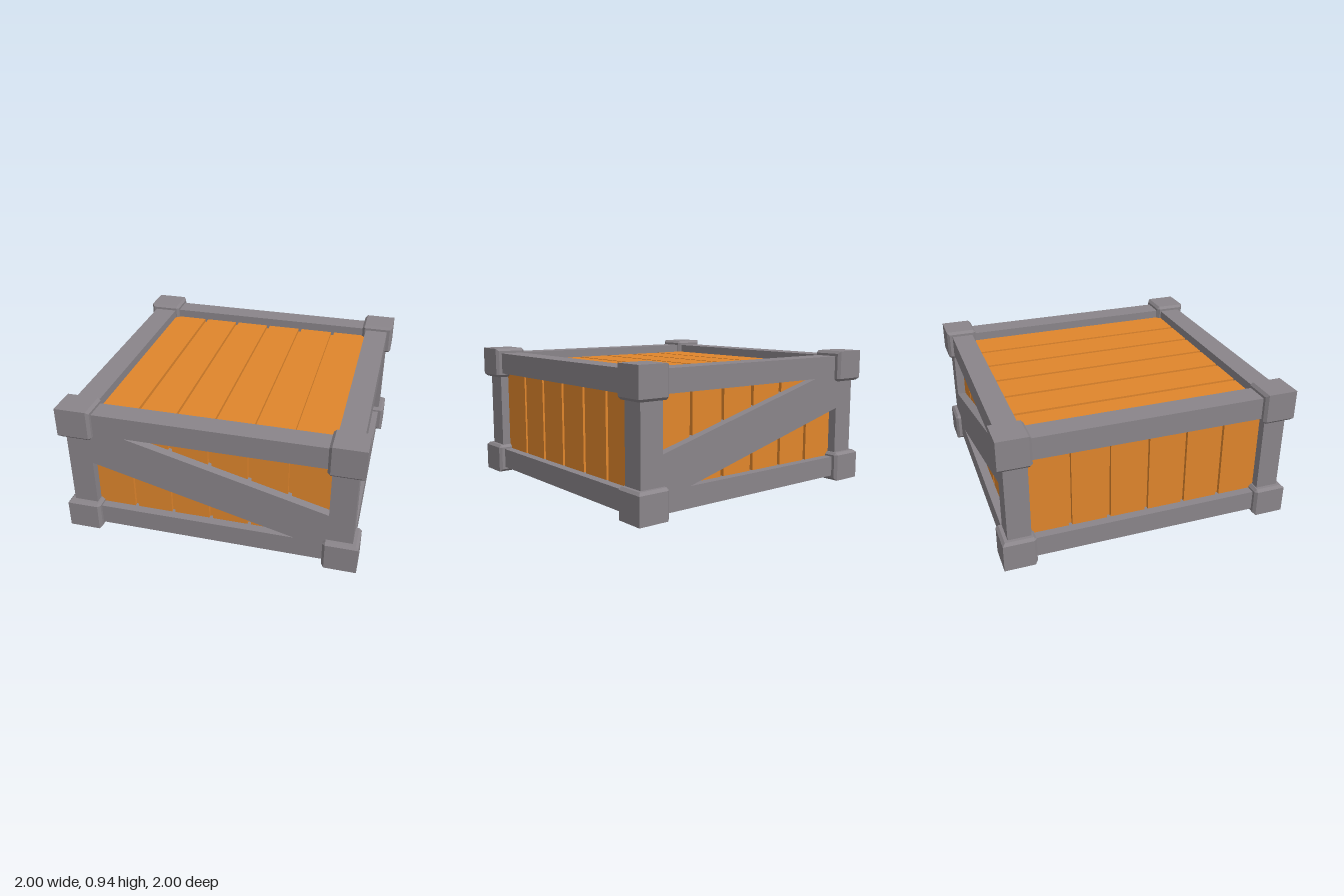
import * as THREE from 'three';
import { ConvexGeometry } from 'three/addons/geometries/ConvexGeometry.js';

const frameMat = new THREE.MeshStandardMaterial({ color: 0x8a858a, flatShading: true });
const woodMat = new THREE.MeshStandardMaterial({ color: 0xe0862c, flatShading: true });

function add(parent, name, geometry, material, x = 0, y = 0, z = 0) {
  const mesh = new THREE.Mesh(geometry, material);
  mesh.name = name;
  mesh.position.set(x, y, z);
  parent.add(mesh);
  return mesh;
}

// Six boards side by side with narrow grooves, facing +z
function plankPanel(name, length) {
  const group = new THREE.Group();
  group.name = name;
  const edges = [-0.83, -0.53, -0.265, 0, 0.265, 0.53, 0.83];
  const gap = 0.025, thick = 0.03;
  for (let i = 0; i < 6; i++) {
    const width = edges[i + 1] - edges[i] - gap;
    add(group, 'plank', new THREE.BoxGeometry(width, length, thick), woodMat,
      (edges[i] + edges[i + 1]) / 2, 0, -thick / 2);
  }
  return group;
}

// Corner block: sharp outer edges, chamfers around its three inner faces.
// Each range is [inner, outer].
function cornerBlock(rx, ry, rz) {
  const ranges = [rx, ry, rz], c = 0.018, points = [];
  const inward = (r, end, amount) => r[end] + Math.sign(r[1 - end] - r[end]) * amount;
  for (let axis = -1; axis < 3; axis++) {
    for (let bits = 0; bits < 8; bits++) {
      const p = ranges.map((r, k) => {
        const end = (bits >> k) & 1;
        if (axis < 0) return end ? r[1] : inward(r, 0, c);
        return k === axis ? r[0] : inward(r, end, c);
      });
      points.push(new THREE.Vector3(...p));
    }
  }
  return new ConvexGeometry(points);
}

// Front/back frame with a diagonal brace left between two triangular openings
function bracedFrame() {
  const poly = (pts, Type) => new Type(pts.map(([x, y]) => new THREE.Vector2(x, y)));
  const shape = poly([[-0.96, 0.035], [0.96, 0.035], [0.96, 0.905], [-0.96, 0.905]], THREE.Shape);
  shape.holes.push(
    poly([[-0.56, 0.755], [0.795, 0.755], [0.795, 0.4]], THREE.Path),
    poly([[-0.795, 0.53], [-0.795, 0.175], [0.58, 0.175]], THREE.Path));
  return new THREE.ExtrudeGeometry(shape, { depth: 0.155, bevelEnabled: false });
}

export function createModel() {
  const crate = new THREE.Group();
  crate.name = 'crate';

  // Wooden body seen through the grooves
  add(crate, 'innerBox', new THREE.BoxGeometry(1.75, 0.7, 1.75), woodMat, 0, 0.47, 0);

  // Plank panels: [name, board length, position, rotation]
  const h = Math.PI / 2;
  const panels = [
    ['frontPanel', 0.7, [0, 0.465, 0.9], [0, 0, 0]],
    ['backPanel', 0.7, [0, 0.465, -0.9], [0, Math.PI, 0]],
    ['leftPanel', 0.7, [0.9, 0.465, 0], [0, h, 0]],
    ['rightPanel', 0.7, [-0.9, 0.465, 0], [0, -h, 0]],
    ['topPanel', 1.66, [0, 0.845, 0], [-h, 0, 0]],
    ['bottomPanel', 1.66, [0, 0.095, 0], [h, 0, h]],
  ];
  for (const [name, length, position, rotation] of panels) {
    const panel = plankPanel(name, length);
    panel.position.set(...position);
    panel.rotation.set(...rotation);
    crate.add(panel);
  }

  // Braced frames on front and back
  const frame = bracedFrame();
  add(crate, 'frontFrame', frame, frameMat, 0, 0, 0.805);
  add(crate, 'backFrame', frame, frameMat, 0, 0, -0.96);

  for (const sx of [-1, 1]) {
    // Side rails between the two frames
    add(crate, 'lowerSideRail', new THREE.BoxGeometry(0.165, 0.14, 1.61), frameMat, sx * 0.8775, 0.105, 0);
    add(crate, 'upperSideRail', new THREE.BoxGeometry(0.165, 0.15, 1.61), frameMat, sx * 0.8775, 0.83, 0);

    // Corner blocks
    for (const sz of [-1, 1]) {
      const rx = [sx * 0.768, sx], rz = [sz * 0.778, sz];
      add(crate, 'lowerCornerBlock', cornerBlock(rx, [0.205, 0], rz), frameMat);
      add(crate, 'upperCornerBlock', cornerBlock(rx, [0.725, 0.94], rz), frameMat);
    }
  }
  return crate;
}
